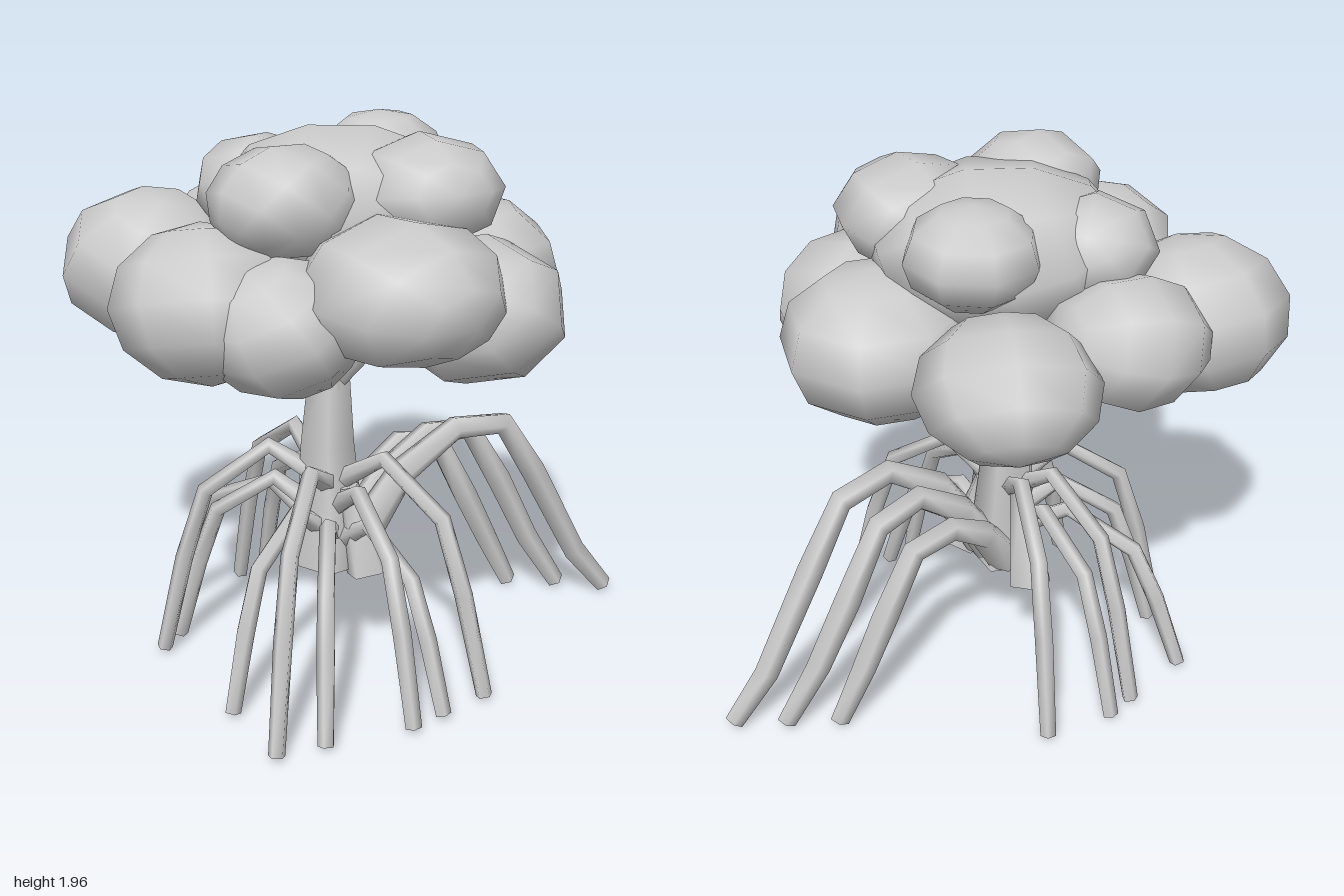
import * as THREE from 'three';

const V = (x, y, z) => new THREE.Vector3(x, y, z);
const material = new THREE.MeshStandardMaterial({ color: 0xcccccc, side: THREE.DoubleSide });

// Sweeps a polygon along points, with one radius per point and flat end caps.
function sweep(points, radii, sides = 5) {
  const pos = [], index = [], n = points.length;
  const span = points[n - 1].clone().sub(points[0]);
  const side = V(-span.z, 0, span.x);
  if (side.length() < 1e-3) side.set(1, 0, 0);
  side.normalize();
  const ring = (i) => {
    const start = pos.length / 3;
    const t = points[Math.min(i + 1, n - 1)].clone().sub(points[i]).normalize();
    t.add(points[i].clone().sub(points[Math.max(i - 1, 0)]).normalize()).normalize();
    const up = t.clone().cross(side);
    for (let j = 0; j < sides; j++) {
      const a = (j / sides) * Math.PI * 2;
      const p = points[i].clone().addScaledVector(side, Math.cos(a) * radii[i])
        .addScaledVector(up, Math.sin(a) * radii[i]);
      pos.push(p.x, p.y, p.z);
    }
    return start;
  };
  for (let i = 0; i < n; i++) ring(i);
  for (let i = 0; i < n - 1; i++) {
    for (let j = 0; j < sides; j++) {
      const a = i * sides + j, b = i * sides + (j + 1) % sides;
      index.push(a, b, b + sides, a, b + sides, a + sides);
    }
  }
  for (const end of [0, n - 1]) {
    const s = ring(end);
    for (let j = 1; j < sides - 1; j++) {
      if (end) index.push(s, s + j, s + j + 1);
      else index.push(s, s + j + 1, s + j);
    }
  }
  const g = new THREE.BufferGeometry();
  g.setAttribute('position', new THREE.Float32BufferAttribute(pos, 3));
  g.setIndex(index);
  g.computeVertexNormals();
  return g;
}

export function createModel() {
  const model = new THREE.Group();
  const group = (name) => {
    const g = new THREE.Group();
    g.name = name;
    model.add(g);
    return g;
  };
  const add = (parent, name, geometry) => {
    const m = new THREE.Mesh(geometry, material);
    m.name = name;
    parent.add(m);
    return m;
  };

  // Foliage: coarse flattened spheres, each tilted differently [x, y, z, radius, half height]
  const foliage = group('foliage');
  const lower = [
    [-0.65, 1.46, -0.47, 0.325, 0.27], [-0.25, 1.51, -0.54, 0.28, 0.225],
    [0.25, 1.5, -0.53, 0.305, 0.225], [0.31, 1.44, 0.07, 0.35, 0.265],
    [0.15, 1.41, 0.41, 0.315, 0.25], [-0.18, 1.545, 0.48, 0.345, 0.24],
    [-0.52, 1.43, 0.31, 0.275, 0.23], [-0.69, 1.48, 0.11, 0.315, 0.26],
  ];
  const upper = [
    [-0.12, 1.72, -0.02, 0.44, 0.265],
    [-0.31, 1.74, -0.29, 0.225, 0.18], [0.13, 1.8, -0.2, 0.235, 0.175],
    [-0.43, 1.795, 0.16, 0.25, 0.185], [0.05, 1.79, 0.24, 0.265, 0.19],
  ];
  [...lower, ...upper].forEach(([x, y, z, r, h], i) => {
    const ball = new THREE.SphereGeometry(1, 8, 6).rotateX(0.4 + i * 0.9).rotateY(i * 1.3);
    const m = add(foliage, 'leafCluster', ball);
    m.position.set(x, y, z);
    m.scale.set(r, h, r);
  });

  // Trunk, tapering upwards
  add(model, 'trunk', sweep(
    [V(-0.2, 0.38, 0), V(-0.19, 0.62, -0.01), V(-0.19, 0.85, -0.02), V(-0.18, 1.13, -0.02)],
    [0.145, 0.12, 0.1, 0.075]));

  // Steep branches rising into the lower clusters, plus one leader
  const branches = group('branches');
  const fork = V(-0.18, 1.06, -0.02);
  for (const [x, y, z] of lower) {
    const tip = V(fork.x + (x - fork.x) * 0.58, y, fork.z + (z - fork.z) * 0.58);
    add(branches, 'branch', sweep([fork, tip], [0.045, 0.034]));
  }
  add(branches, 'leader', sweep([fork, V(-0.14, 1.65, -0.02)], [0.07, 0.045]));

  // Short buttresses on both sides of the trunk foot
  const buttresses = group('buttresses');
  add(buttresses, 'buttress', sweep([V(-0.16, 0.76, -0.12), V(-0.14, 0.38, -0.21)], [0.04, 0.08]));
  add(buttresses, 'buttress', sweep([V(-0.16, 0.7, 0.08), V(-0.12, 0.38, 0.15)], [0.04, 0.08]));

  // Stilt roots around the trunk [foot x, foot z, arch height]
  const roots = group('stiltRoots');
  const feet = [
    [-0.7, 0.57, 0.84], [-0.53, 0.6, 0.63], [-0.22, 0.65, 0.74], [-0.09, 0.63, 0.6], [0.1, 0.6, 0.84],
    [-0.72, 0.26, 0.65], [-0.76, -0.26, 0.84], [-0.67, -0.33, 0.7],
    [-0.56, -0.61, 0.64], [-0.27, -0.65, 0.84], [-0.15, -0.67, 0.7], [0.1, -0.61, 0.84],
  ];
  for (const [x, z, h] of feet) {
    const at = (f, y) => V(-0.19 + (x + 0.19) * f, y, z * f);
    add(roots, 'stiltRoot', sweep(
      [at(0.06, h - 0.13), at(0.35, h), at(0.72, h * 0.8), at(0.86, h * 0.48), at(1, 0.035)],
      [0.04, 0.032, 0.032, 0.034, 0.03]));
  }

  // Three large arching roots on one side, as [x, y, z] paths
  const arches = [
    [[-0.14, 0.42, 0.06], [0.04, 0.72, 0.11], [0.26, 0.86, 0.13], [0.47, 0.83, 0.12],
      [0.62, 0.6, 0.11], [0.82, 0.22, 0.13], [0.96, 0.04, 0.155]],
    [[-0.14, 0.42, 0], [0.02, 0.66, 0], [0.22, 0.8, 0], [0.41, 0.77, -0.02],
      [0.56, 0.52, -0.03], [0.68, 0.26, 0], [0.81, 0.04, 0.035]],
    [[-0.14, 0.42, -0.07], [0, 0.6, -0.11], [0.18, 0.72, -0.14], [0.34, 0.69, -0.13],
      [0.46, 0.44, -0.11], [0.55, 0.25, -0.1], [0.65, 0.035, -0.075]],
  ];
  for (const path of arches) {
    add(roots, 'archRoot', sweep(path.map((p) => V(...p)),
      [0.075, 0.055, 0.045, 0.045, 0.05, 0.046, 0.036]));
  }
  return model;
}
